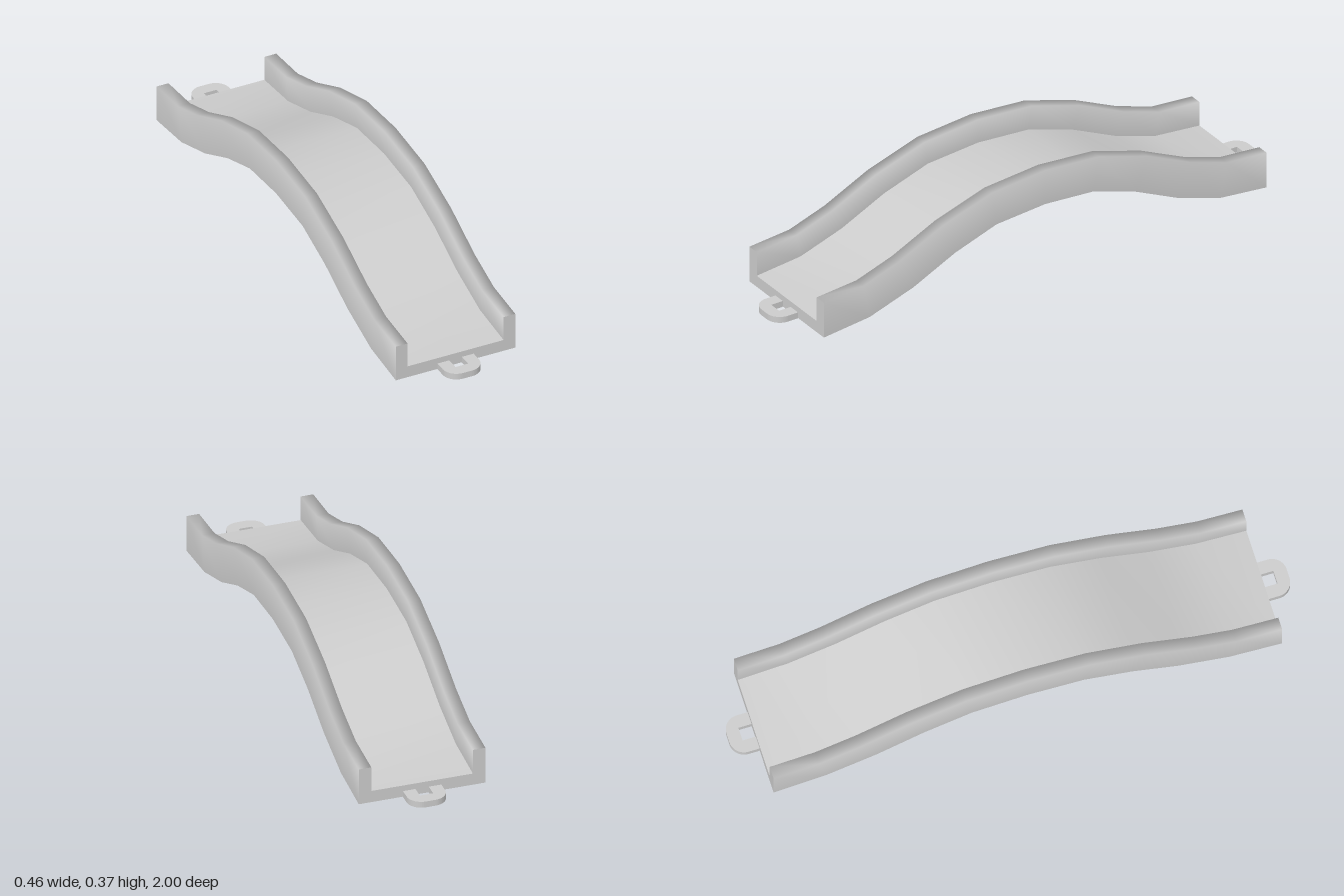
import * as THREE from 'three';

const material = new THREE.MeshStandardMaterial({ color: 0xcccccc });

// Half of the arch, from the end to the crown: [bottom z, bottom y, top z, top y]
const half = [
  [0.908, 0.001, 0.908, 0.138],
  [0.72, 0.021, 0.745, 0.152],
  [0.54, 0.08, 0.6, 0.2],
  [0.37, 0.16, 0.42, 0.284],
  [0.2, 0.217, 0.22, 0.347],
  [0, 0.232, 0, 0.365],
];
const stations = [
  ...half,
  ...half.slice(0, -1).reverse().map(([bz, by, tz, ty]) => [-bz, by, -tz, ty]),
];

const OUT = 0.228, IN = 0.183, FLOOR = 0.32; // FLOOR: fraction of the height

// Sweeps a profile of [x, height fraction] points along the arch, smoothly shaded
function sweep(name, profile) {
  const positions = [], index = [], n = profile.length;
  stations.forEach(([bz, by, tz, ty], i) => {
    profile.forEach(([x, f], j) => {
      positions.push(x, by + (ty - by) * f, bz + (tz - bz) * f);
      if (i < stations.length - 1 && j < n - 1) {
        const a = i * n + j, c = a + n;
        index.push(a, c, a + 1, a + 1, c, c + 1);
      }
    });
  });
  const geometry = new THREE.BufferGeometry();
  geometry.setAttribute('position', new THREE.Float32BufferAttribute(positions, 3));
  geometry.setIndex(index);
  geometry.computeVertexNormals();
  return named(name, geometry);
}

function named(name, geometry) {
  const mesh = new THREE.Mesh(geometry, material);
  mesh.name = name;
  return mesh;
}

// Flat U-shaped face closing the end of the channel
function endFace() {
  const [, y0, z, y1] = half[0];
  const yf = y0 + (y1 - y0) * FLOOR;
  const shape = new THREE.Shape([
    [-OUT, y0], [OUT, y0], [OUT, y1], [IN, y1],
    [IN, yf], [-IN, yf], [-IN, y1], [-OUT, y1],
  ].map(([x, y]) => new THREE.Vector2(x, y)));
  return named('endFace', new THREE.ShapeGeometry(shape).translate(0, 0, z));
}

// Flat connector loop with rounded outer corners and a rectangular hole
function connectorLoop() {
  const w = 0.069, near = 0.906, far = 1, r = 0.052;
  const shape = new THREE.Shape();
  shape.moveTo(-w, near);
  shape.lineTo(-w, far - r);
  shape.absarc(-w + r, far - r, r, Math.PI, Math.PI / 2, true);
  shape.lineTo(w - r, far);
  shape.absarc(w - r, far - r, r, Math.PI / 2, 0, true);
  shape.lineTo(w, near);
  shape.lineTo(0.024, near);
  shape.lineTo(0.024, 0.955);
  shape.lineTo(-0.024, 0.955);
  shape.lineTo(-0.024, near);
  const geometry = new THREE.ExtrudeGeometry(shape, { depth: 0.023, bevelEnabled: false, curveSegments: 6 });
  geometry.rotateX(Math.PI / 2).translate(0, 0.023, 0);
  return named('connectorLoop', geometry);
}

export function createModel() {
  const model = new THREE.Group();
  model.name = 'archedTrack';

  // Side walls, floor and underside
  model.add(
    sweep('leftWall', [[OUT, 0], [OUT, 1], [IN, 1], [IN, FLOOR]]),
    sweep('floor', [[IN, FLOOR], [-IN, FLOOR]]),
    sweep('rightWall', [[-IN, FLOOR], [-IN, 1], [-OUT, 1], [-OUT, 0]]),
    sweep('underside', [[-OUT, 0], [OUT, 0]]),
  );

  // Matching ends with their connectors
  for (const [name, angle] of [['frontEnd', 0], ['backEnd', Math.PI]]) {
    const end = new THREE.Group();
    end.name = name;
    end.add(endFace(), connectorLoop());
    end.rotation.y = angle;
    model.add(end);
  }
  return model;
}
